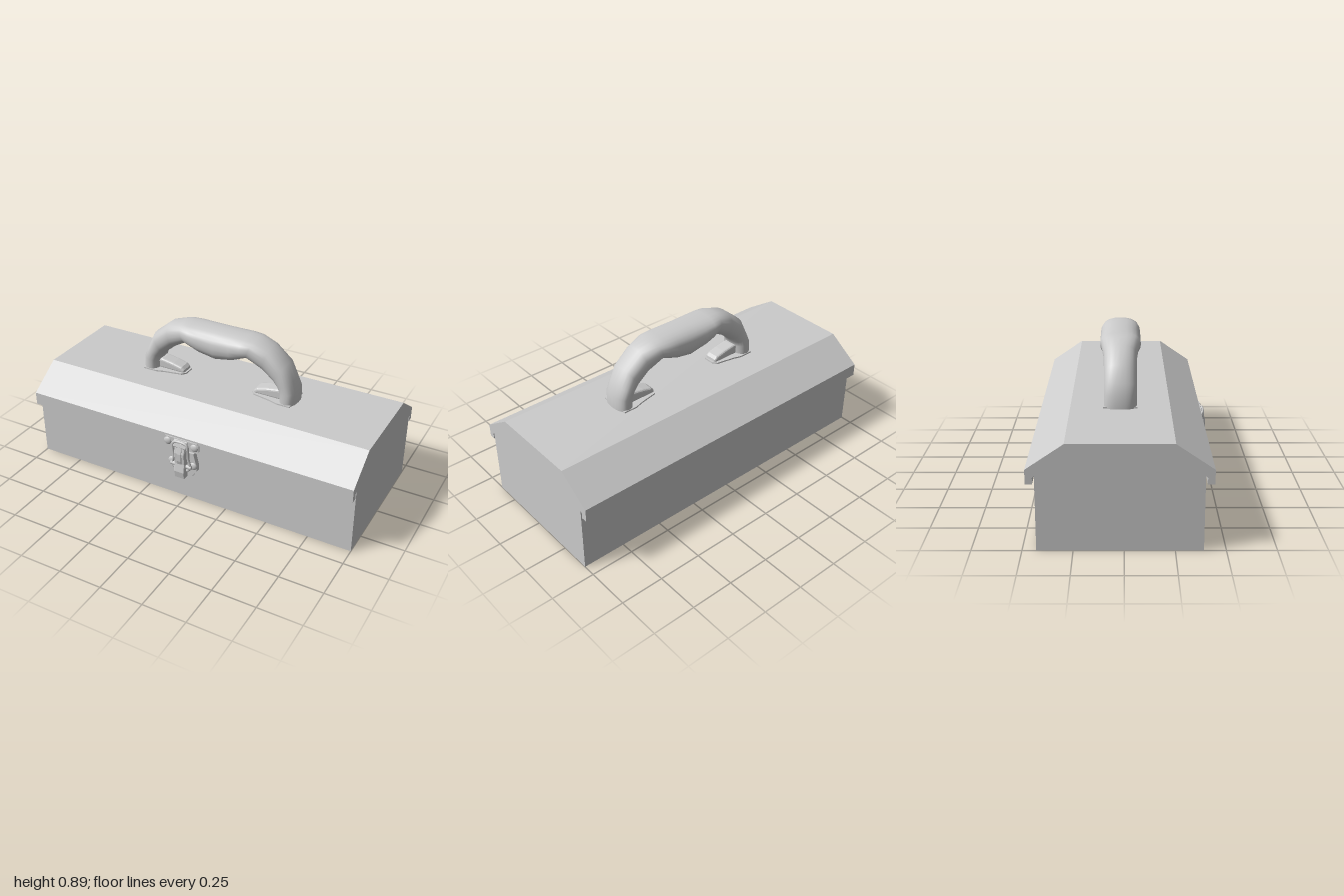
import * as THREE from 'three';

const material = new THREE.MeshStandardMaterial({ color: 0xcccccc, side: THREE.DoubleSide });
const HANDLE_Z = -0.02;

function add(parent, name, geometry) {
  const mesh = new THREE.Mesh(geometry, material);
  mesh.name = name;
  parent.add(mesh);
  return mesh;
}

// Extrudes an outline, centred on its depth; a bevel stays inside the outline.
function plate(points, depth, bevel = 0) {
  const shape = new THREE.Shape(points.map(([x, y]) => new THREE.Vector2(x, y)));
  return new THREE.ExtrudeGeometry(shape, {
    depth: depth - 2 * bevel, bevelEnabled: bevel > 0, bevelSize: bevel,
    bevelOffset: -bevel, bevelThickness: bevel, bevelSegments: 3,
  }).translate(0, 0, bevel - depth / 2);
}

// Outline given as [z, y], extruded across x.
const sidePlate = (points, width, bevel) => plate(points, width, bevel).rotateY(-Math.PI / 2);

// Completes a right-hand outline with its mirror image.
const mirrored = (half) => [...half, ...half.map(([x, y]) => [-x, y]).reverse()];

function handleGeometry() {
  // outer x, outer y, inner x, inner y, half width; from foot to middle
  const half = [
    [0.488, 0.55, 0.385, 0.55, 0.087],
    [0.487, 0.63, 0.385, 0.61, 0.087],
    [0.46, 0.69, 0.373, 0.64, 0.087],
    [0.42, 0.78, 0.345, 0.67, 0.087],
    [0.32, 0.863, 0.285, 0.72, 0.09],
    [0.23, 0.889, 0.19, 0.775, 0.104],
    [0.17, 0.892, 0.15, 0.758, 0.113],
    [0.1, 0.894, 0.1, 0.735, 0.114],
    [0, 0.895, 0, 0.715, 0.114],
  ];
  const mirror = half.slice(0, -1).reverse().map(([a, b, c, d, w]) => [-a, b, -c, d, w]);
  const sections = [...half, ...mirror];
  const sides = 24, position = [], index = [];
  const soften = (v) => Math.sign(v) * Math.abs(v) ** 0.85;
  sections.forEach(([ox, oy, ix, iy, w], s) => {
    for (let i = 0; i < sides; i++) {
      const t = (i / sides) * Math.PI * 2;
      const c = soften(Math.cos(t)) / 2;
      position.push((ox + ix) / 2 + (ox - ix) * c, (oy + iy) / 2 + (oy - iy) * c, w * soften(Math.sin(t)));
      if (s === sections.length - 1) continue;
      const a = s * sides + i, b = s * sides + ((i + 1) % sides);
      index.push(a, a + sides, b, b, a + sides, b + sides);
    }
  });
  const geometry = new THREE.BufferGeometry();
  geometry.setAttribute('position', new THREE.Float32BufferAttribute(position, 3));
  geometry.setIndex(index);
  geometry.computeVertexNormals();
  return geometry;
}

function createHandle() {
  const handle = new THREE.Group();
  handle.name = 'handle';
  handle.position.z = HANDLE_Z;
  add(handle, 'grip', handleGeometry());

  // Bracket at each foot: thin base plate and rounded tab
  for (const turn of [0, Math.PI]) {
    const bracket = new THREE.Group();
    bracket.name = turn ? 'rightBracket' : 'leftBracket';
    bracket.rotation.y = turn;
    const base = [[0.215, 0.03], [0.235, 0.055], [0.34, 0.075], [0.39, 0.09], [0.47, 0.09]];
    const outline = [...base, ...base.map(([x, z]) => [x, -z]).reverse()];
    add(bracket, 'bracketBase', plate(outline, 0.012).rotateX(-Math.PI / 2).translate(0, 0.557, 0));
    const tab = [[0.225, 0.555], [0.42, 0.555], [0.42, 0.62], [0.37, 0.618], [0.3, 0.606], [0.245, 0.592], [0.228, 0.577]];
    add(bracket, 'bracketTab', plate(tab, 0.085, 0.014));
    handle.add(bracket);
  }
  return handle;
}

function createLatch() {
  const latch = new THREE.Group();
  latch.name = 'latch';

  // Lower mount with tapered foot, and the catch plate on the lid
  const mount = mirrored([[0.045, 0.16], [0.088, 0.225], [0.088, 0.255], [0.07, 0.335]]);
  add(latch, 'mount', plate(mount, 0.03).translate(0, 0, 0.415));
  const catchPlate = mirrored([[0.05, 0.355], [0.1, 0.355], [0.112, 0.367], [0.112, 0.403], [0.1, 0.415]]);
  add(latch, 'catchPlate', plate(catchPlate, 0.012).translate(0, 0, 0.437));
  add(latch, 'catchHook', sidePlate(
    [[0.435, 0.35], [0.452, 0.35], [0.462, 0.375], [0.456, 0.395], [0.445, 0.412], [0.435, 0.412]], 0.085, 0.005));

  // Lever with its raised centre rib
  const lever = [[0.43, 0.178], [0.468, 0.178], [0.475, 0.22], [0.465, 0.27], [0.468, 0.335], [0.456, 0.385], [0.445, 0.39], [0.43, 0.33]];
  add(latch, 'lever', sidePlate(lever, 0.066, 0.006));
  const rib = [[0.45, 0.265], [0.465, 0.265], [0.472, 0.29], [0.472, 0.335], [0.46, 0.38], [0.45, 0.38]];
  add(latch, 'leverRib', sidePlate(rib, 0.03, 0.004));

  // Wire loop pulled over the hook
  const loop = mirrored([[0.035, 0.225], [0.055, 0.245], [0.046, 0.3], [0.045, 0.385], [0.033, 0.4]])
    .map(([x, y]) => new THREE.Vector3(x, y, 0.445 + (y > 0.35 ? 0.008 : 0)));
  add(latch, 'wireLoop', new THREE.TubeGeometry(new THREE.CatmullRomCurve3(loop, true), 60, 0.008, 8, true));

  // Pivot pin and rivets
  add(latch, 'pivotPin', new THREE.CylinderGeometry(0.012, 0.012, 0.13, 12).rotateZ(Math.PI / 2).translate(0, 0.25, 0.445));
  for (const side of [-1, 1]) {
    for (const [x, y, z] of [[0.084, 0.386, 0.441], [0.067, 0.253, 0.428]]) {
      const rivet = add(latch, 'rivet', new THREE.SphereGeometry(0.024, 16, 10));
      rivet.scale.z = 0.5;
      rivet.position.set(side * x, y, z);
    }
  }
  return latch;
}

export function createModel() {
  const model = new THREE.Group();
  model.name = 'toolbox';

  // Lower tray
  add(model, 'tray', new THREE.BoxGeometry(2, 0.39, 0.82).translate(0, 0.195, -0.02));

  // Lid with sloped sides and an overhanging lip front and back
  const lid = [
    [0.245, 0.555], [-0.285, 0.555], [-0.475, 0.425], [-0.475, 0.35], [-0.44, 0.35], [-0.44, 0.383], [-0.433, 0.39],
    [0.393, 0.39], [0.4, 0.383], [0.4, 0.35], [0.435, 0.35], [0.435, 0.425],
  ];
  add(model, 'lid', sidePlate(lid, 2));

  model.add(createHandle(), createLatch());
  return model;
}
